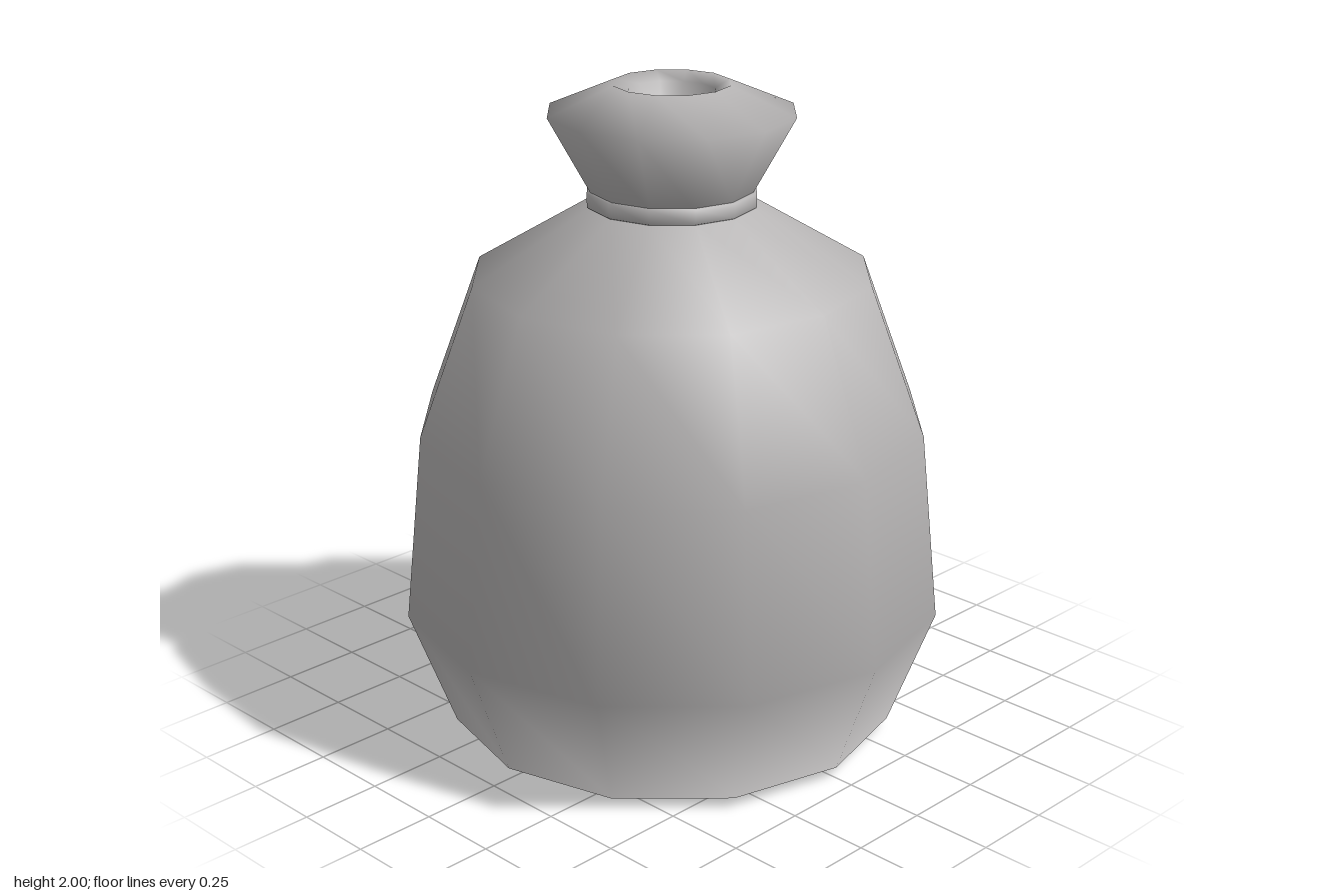
import * as THREE from 'three';

const SIDES = 12;

export function createModel() {
  const group = new THREE.Group();
  group.name = 'jar';
  const clay = new THREE.MeshStandardMaterial({ color: 0xb6b4b4 });
  clay.name = 'greyClay';

  // Twelve-sided turned part from a profile of [radius, height] pairs
  const turn = (name, profile) => {
    const points = profile.map(([r, y]) => new THREE.Vector2(r, y));
    const mesh = new THREE.Mesh(new THREE.LatheGeometry(points, SIDES), clay);
    mesh.name = name;
    group.add(mesh);
    return mesh;
  };

  // Shallow cone under the jar
  turn('base', [[0, 0], [0.69, 0.035]]);

  // Bulging body and sloping shoulder
  const body = [[0.69, 0.035], [0.828, 0.405], [0.77, 0.98], [0.602, 1.43], [0.25, 1.642]];
  const bodyMesh = turn('body', body);

  // Soften the bottom edge by tilting its normals slightly upward
  const normals = bodyMesh.geometry.attributes.normal;
  for (let i = 0; i <= SIDES; i++) {
    const a = (i / SIDES) * Math.PI * 2;
    normals.setXYZ(i * body.length, Math.sin(a) * 0.92, 0.39, Math.cos(a) * 0.92);
  }

  // Collar around the foot of the neck
  turn('collar', [[0.24, 1.635], [0.256, 1.645], [0.256, 1.688], [0.23, 1.692]]);

  // Flared neck, sloping lip and the small closed opening
  turn('neck', [
    [0.243, 1.685], [0.37, 1.917], [0.175, 2.0],
    [0.13, 1.975], [0.11, 1.87], [0, 1.82],
  ]);

  return group;
}
